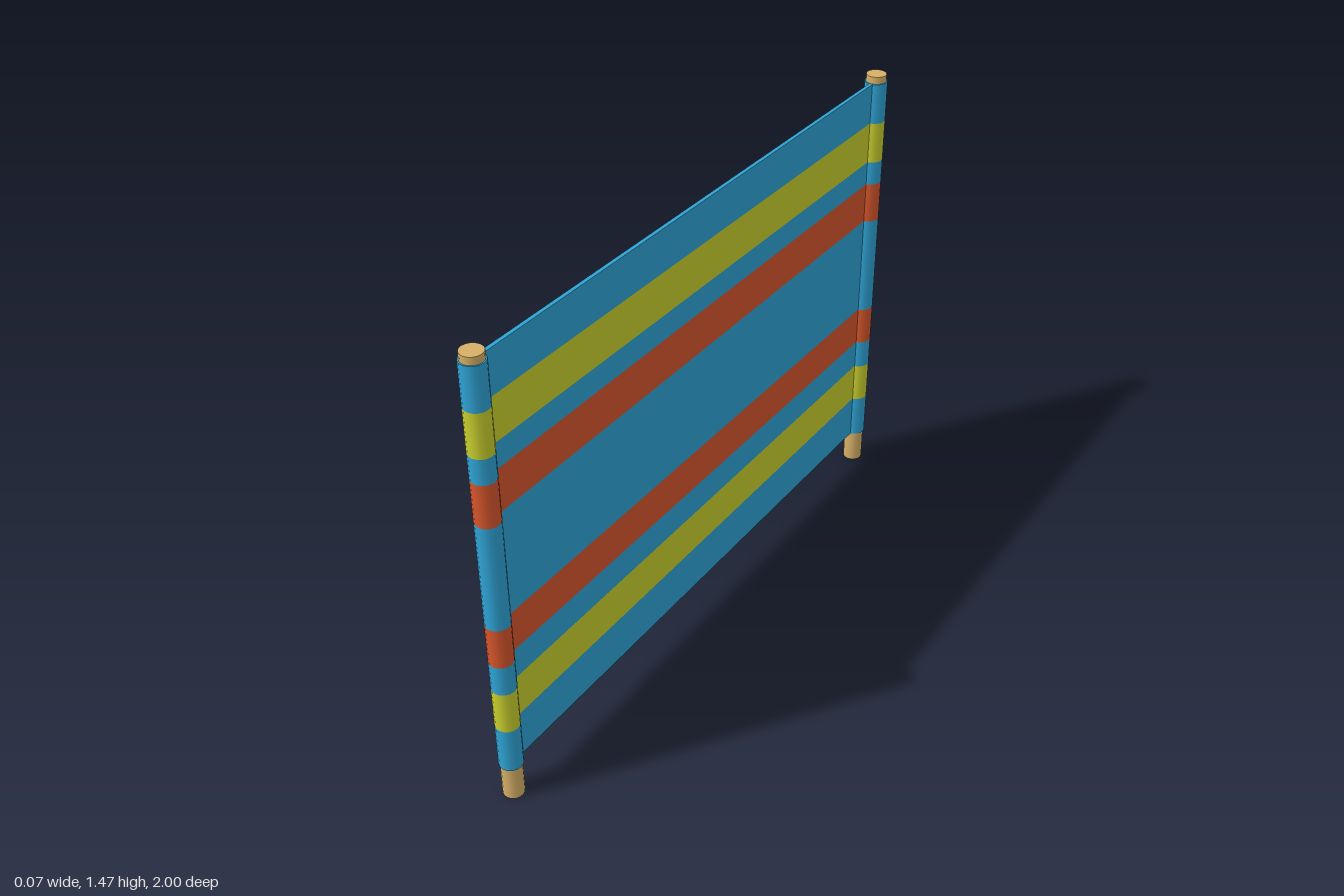
import * as THREE from 'three';

const material = (name, color) => {
  const m = new THREE.MeshStandardMaterial({ color });
  m.name = name;
  return m;
};

export function createModel() {
  const group = new THREE.Group();
  group.name = 'windbreak';
  const blue = material('blue cloth', 0x2fa4d6);
  const yellow = material('yellow cloth', 0xcad02e);
  const red = material('red cloth', 0xd7562c);
  const wood = material('wood', 0xd6b067);

  const poleZ = 0.964, poleR = 0.032, sleeveR = 0.036, sides = 16;
  const poleTop = 1.466, clothThickness = 0.012;

  const add = (name, geometry, mat, x, y, z, parent = group) => {
    const mesh = new THREE.Mesh(geometry, mat);
    mesh.name = name;
    mesh.position.set(x, y, z);
    parent.add(mesh);
    return mesh;
  };

  // Horizontal bands of the cloth, from the bottom hem to the top hem
  const edges = [0.115, 0.265, 0.402, 0.5, 0.63, 0.967, 1.1, 1.178, 1.312, 1.443];
  const colours = [blue, yellow, blue, red, blue, red, blue, yellow, blue];
  colours.forEach((mat, i) => {
    const height = edges[i + 1] - edges[i];
    const band = new THREE.Group();
    band.name = `clothBand${i + 1}`;
    band.position.y = (edges[i] + edges[i + 1]) / 2;
    group.add(band);
    add('sheet', new THREE.BoxGeometry(clothThickness, height, 2 * (poleZ - sleeveR) + 0.006), mat, 0, 0, 0, band);
    for (const side of [-1, 1]) {
      add('sleeve', new THREE.CylinderGeometry(sleeveR, sleeveR, height, sides, 1, true), mat, 0, 0, side * poleZ, band);
    }
  });

  for (const side of [-1, 1]) {
    // Round wooden pole
    add('pole', new THREE.CylinderGeometry(poleR, poleR, poleTop, sides), wood, 0, poleTop / 2, side * poleZ);
    // Hems closing the gap between sleeve and pole
    for (const [y, turn] of [[edges[0], Math.PI / 2], [edges[edges.length - 1], -Math.PI / 2]]) {
      const hem = new THREE.RingGeometry(poleR, sleeveR, sides).rotateX(turn);
      add('sleeveHem', hem, blue, 0, y, side * poleZ);
    }
  }
  return group;
}
